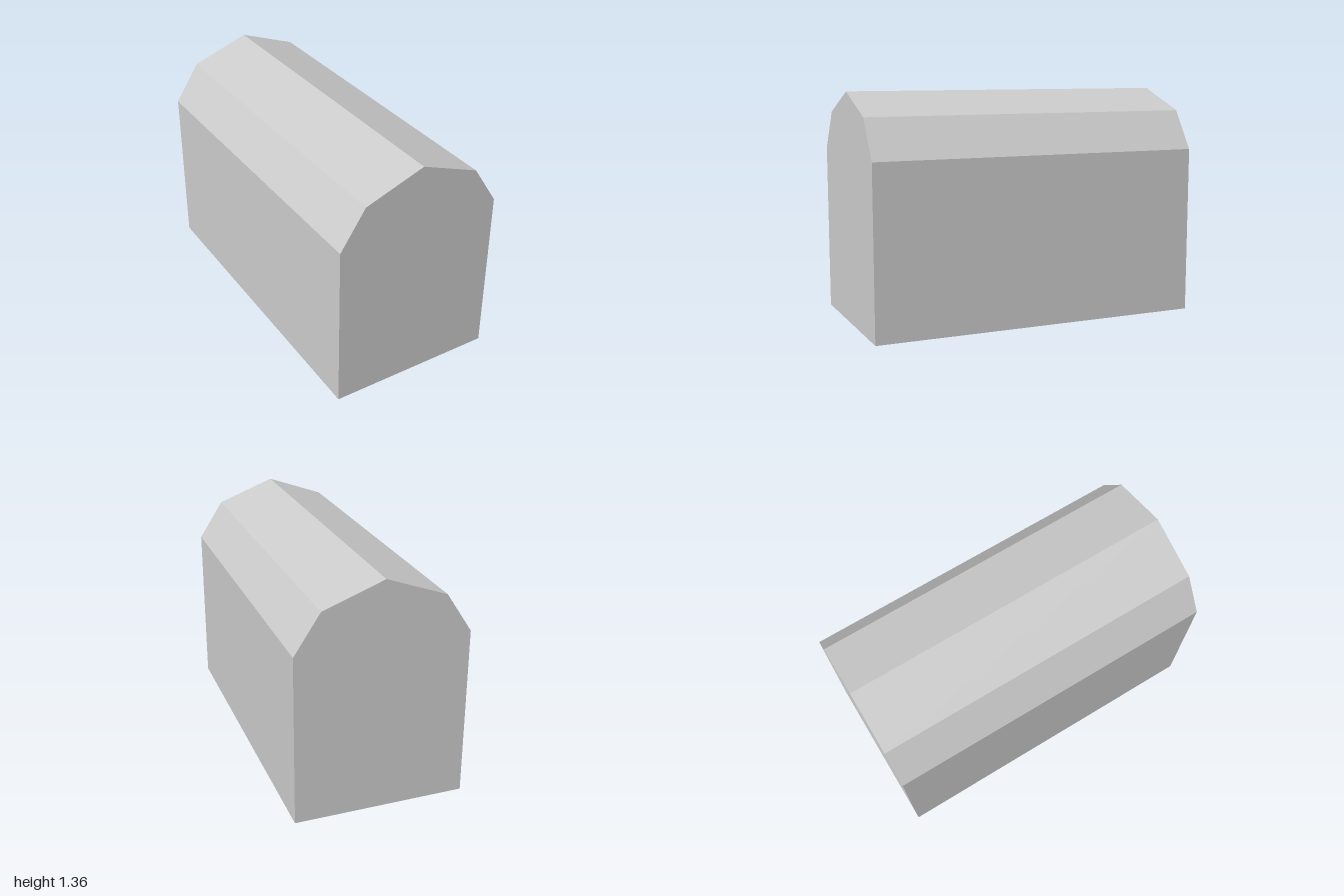
import * as THREE from 'three';

export function createModel() {
  const group = new THREE.Group();
  group.name = 'barn';

  // Gambrel profile: right half from base to eave to roof break, mirrored about the ridge
  const half = [[0.5, 0], [0.5, 1], [0.35, 1.23]];
  const mirrored = half.map(([x, y]) => [-x, y]).reverse();
  const profile = [...half, [0, 1.36], ...mirrored].map(([x, y]) => new THREE.Vector2(x, y));

  // Solid block extruded along z
  const length = 2;
  const geometry = new THREE.ExtrudeGeometry(new THREE.Shape(profile), { depth: length, bevelEnabled: false });
  geometry.translate(0, 0, -length / 2);

  const body = new THREE.Mesh(
    geometry,
    new THREE.MeshStandardMaterial({ color: 0xcccccc, flatShading: true })
  );
  body.name = 'barnBody';
  group.add(body);
  return group;
}
